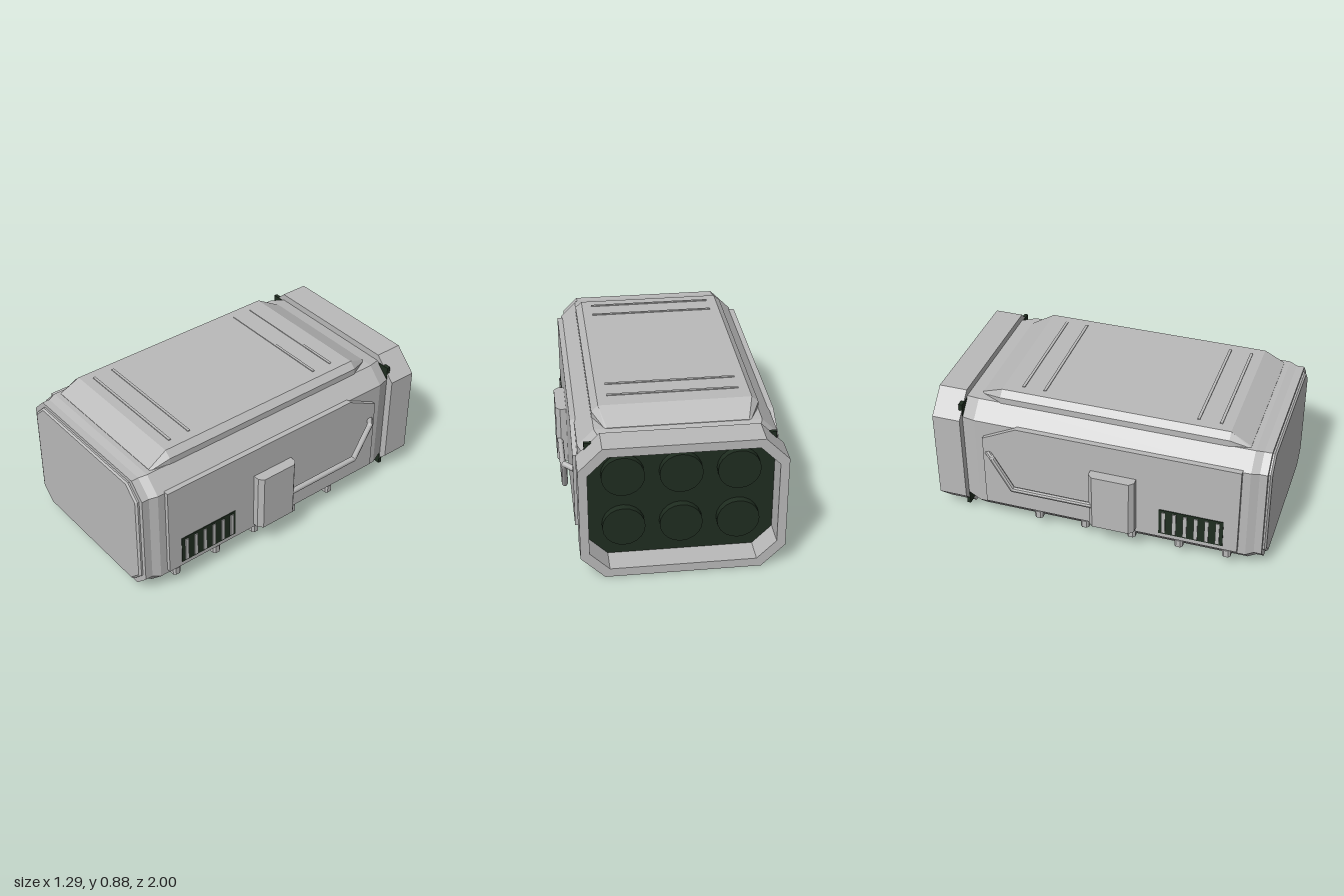
import * as THREE from 'three';

const hull = new THREE.MeshStandardMaterial({ color: 0xbababa });
hull.name = 'hull grey';
const dark = new THREE.MeshStandardMaterial({ color: 0x1f2d20 });
dark.name = 'dark green';

// Octagon as counter-clockwise [x, y] points: half width, bottom, top, corner cut
function octagon(w, y0, y1, c) {
  return [[-w + c, y0], [w - c, y0], [w, y0 + c], [w, y1 - c],
    [w - c, y1], [-w + c, y1], [-w, y1 - c], [-w, y0 + c]];
}

// Flat-faced skin over convex sections [z, points], ordered back to front
function loft(sections) {
  const pos = [];
  const tri = (...v) => v.forEach((p) => pos.push(...p));
  const rings = sections.map(([z, pts]) => pts.map(([x, y]) => [x, y, z]));
  const n = rings[0].length;
  for (let k = 0; k < rings.length - 1; k++) {
    for (let i = 0; i < n; i++) {
      const j = (i + 1) % n;
      tri(rings[k][i], rings[k][j], rings[k + 1][j]);
      tri(rings[k][i], rings[k + 1][j], rings[k + 1][i]);
    }
  }
  const back = rings[0], front = rings[rings.length - 1];
  for (let i = 1; i < n - 1; i++) {
    tri(back[0], back[i + 1], back[i]);
    tri(front[0], front[i], front[i + 1]);
  }
  const geo = new THREE.BufferGeometry();
  geo.setAttribute('position', new THREE.Float32BufferAttribute(pos, 3));
  geo.computeVertexNormals();
  return geo;
}

function extrude(points, depth, hole) {
  const toVec = ([x, y]) => new THREE.Vector2(x, y);
  const shape = new THREE.Shape(points.map(toVec));
  if (hole) shape.holes.push(new THREE.Path(hole.map(toVec)));
  return new THREE.ExtrudeGeometry(shape, { depth, bevelEnabled: false });
}

// Upright block on the +x side with its two outer edges cut
function cutBlock(x0, x1, y0, y1, z0, z1, c) {
  const geo = extrude([[x0, -z1], [x1 - c, -z1], [x1, -z1 + c], [x1, -z0 - c], [x1 - c, -z0], [x0, -z0]], y1 - y0);
  return geo.rotateX(-Math.PI / 2).translate(0, y0, 0);
}

function box(w, h, d, x, y, z) {
  return new THREE.BoxGeometry(w, h, d).translate(x, y, z);
}

// Copy reflected across x = 0, with the triangle order restored
function mirrorX(source) {
  const geo = source.index ? source.toNonIndexed() : source.clone();
  const p = geo.attributes.position;
  for (let i = 0; i < p.count; i += 3) {
    const v = [0, 2, 1].map((k) => [-p.getX(i + k), p.getY(i + k), p.getZ(i + k)]);
    v.forEach((q, k) => p.setXYZ(i + k, ...q));
  }
  geo.computeVertexNormals();
  return geo;
}

export function createModel() {
  const model = new THREE.Group();
  model.name = 'module';
  const add = (name, geo, mat = hull) => {
    const mesh = new THREE.Mesh(geo, mat);
    mesh.name = name;
    model.add(mesh);
  };
  const addPair = (name, geo, mat) => {
    add(name + 'Left', geo, mat);
    add(name + 'Right', mirrorX(geo), mat);
  };

  // Main body with tapered ends and a raised front plate
  add('body', loft([
    [-0.83, octagon(0.525, 0.045, 0.785, 0.09)],
    [-0.745, octagon(0.555, 0.025, 0.8, 0.093)],
    [0.89, octagon(0.555, 0.025, 0.8, 0.093)],
    [0.935, octagon(0.535, 0.04, 0.79, 0.09)],
    [0.98, octagon(0.535, 0.04, 0.79, 0.09)],
  ]));
  add('frontPlate', loft([
    [0.975, octagon(0.508, 0.06, 0.77, 0.085)],
    [0.99, octagon(0.508, 0.06, 0.77, 0.085)],
    [1.0, octagon(0.495, 0.07, 0.76, 0.08)],
  ]));

  // Raised roof with sloping ends
  const roof = (w, side, top, inset) => [[-w, 0.79], [w, 0.79], [w, side],
    [w - inset, top], [-w + inset, top], [-w, side]];
  add('roof', loft([
    [-0.745, roof(0.4, 0.796, 0.803, 0.01)],
    [-0.61, roof(0.465, 0.835, 0.87, 0.038)],
    [0.74, roof(0.465, 0.835, 0.87, 0.038)],
    [0.86, roof(0.445, 0.796, 0.803, 0.01)],
  ]));
  for (const z of [0.67, 0.54, -0.37, -0.5]) {
    add('roofStrip', box(0.74, 0.01, 0.016, 0, 0.87, z));
  }

  // Open collar at the back, closed inside by a dark plate with round nozzles
  add('rearCollar', extrude(octagon(0.57, 0, 0.825, 0.133), 0.17,
    octagon(0.52, 0.052, 0.773, 0.11).reverse()).translate(0, 0, -1));
  add('rearPlate', box(1.05, 0.73, 0.022, 0, 0.412, -0.838), dark);
  for (const x of [-0.32, 0, 0.32]) {
    for (const y of [0.25, 0.575]) {
      add('nozzle', new THREE.CylinderGeometry(0.12, 0.12, 0.05, 20)
        .rotateX(Math.PI / 2).translate(x, y, -0.865), dark);
    }
  }

  // Side panels with one cut corner
  addPair('sidePanel', extrude([[-0.845, 0.145], [0.69, 0.145], [0.69, 0.61],
    [0.48, 0.715], [-0.845, 0.715]], 0.04).rotateY(Math.PI / 2).translate(0.54, 0, 0));
  addPair('sideBox', cutBlock(0.56, 0.643, 0.17, 0.53, -0.03, 0.243, 0.026));

  // Vents: dark plate under light slats
  addPair('ventPlate', box(0.008, 0.175, 0.38, 0.58, 0.26, 0.57), dark);
  for (let i = 0; i < 6; i++) {
    addPair('ventSlat', box(0.018, 0.15, 0.022, 0.581, 0.257, 0.728 - i * 0.064));
  }

  // Bent pipe from the side box back into the panel
  const path = [[0.622, 0.31, 0], [0.622, 0.31, -0.5], [0.622, 0.51, -0.615], [0.57, 0.505, -0.665]]
    .map((p) => new THREE.Vector3(...p));
  for (let i = 0; i < 3; i++) {
    addPair('pipe', new THREE.TubeGeometry(new THREE.LineCurve3(path[i], path[i + 1]), 1, 0.017, 8));
    if (i) addPair('pipeJoint', new THREE.SphereGeometry(0.0175, 8, 6).translate(...path[i].toArray()));
  }

  // Small lugs along the lower edges
  for (const z of [0.78, 0.495, 0.207, -0.08, -0.37]) {
    addPair('lug', cutBlock(0.49, 0.565, 0.078, 0.125, z - 0.025, z + 0.025, 0.012));
  }
  return model;
}
